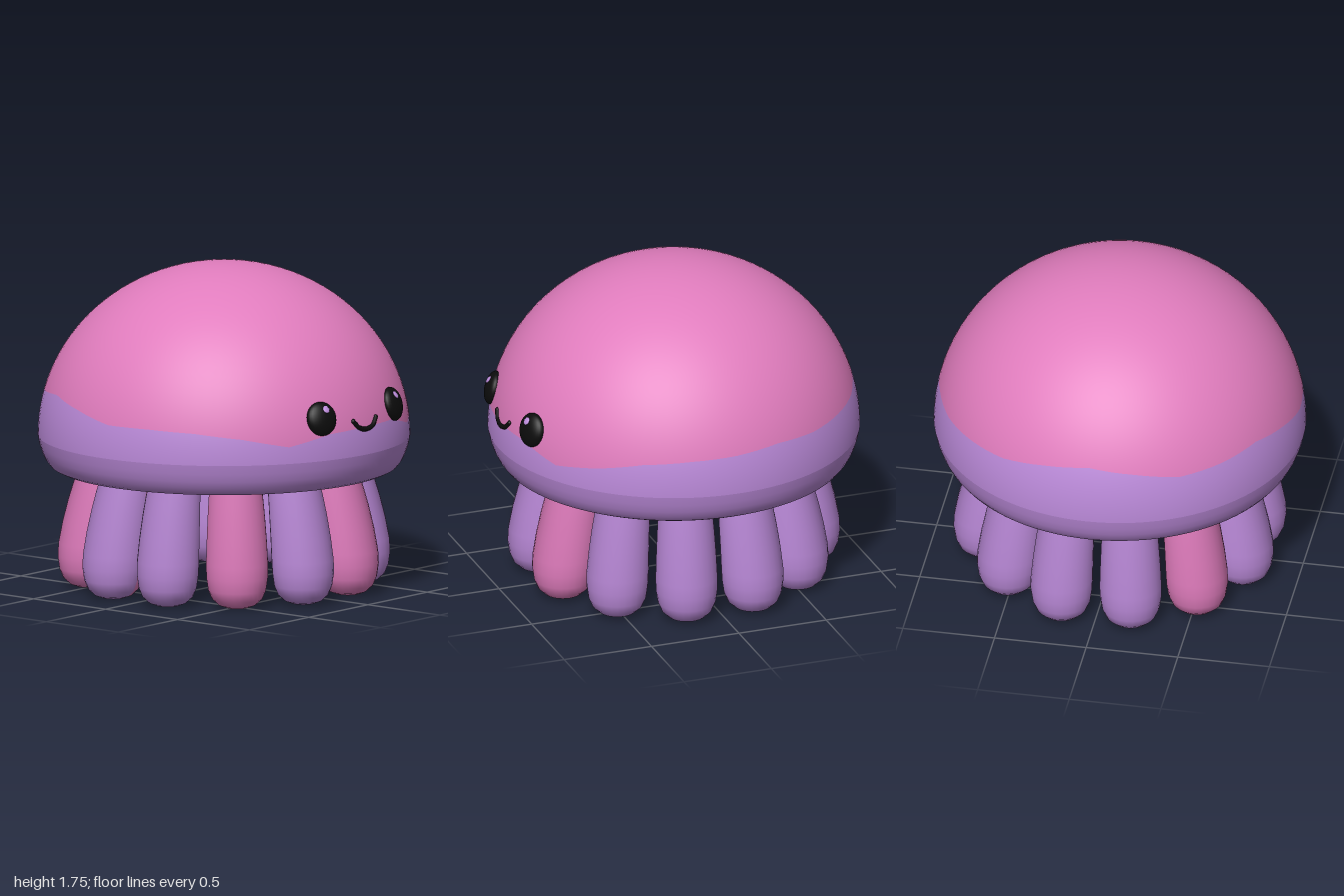
import * as THREE from 'three';

const mat = (name, color, side = THREE.FrontSide) => {
  const m = new THREE.MeshStandardMaterial({ color, side });
  m.name = name;
  return m;
};

// Dome ellipsoid: widest at BASE, unit radius, HEIGHT tall
const BASE = 0.82, HEIGHT = 0.935;
const radiusAt = (y) => Math.sqrt(Math.max(0, 1 - ((y - BASE) / HEIGHT) ** 2));
const surfaceZ = (x, y) => Math.sqrt(radiusAt(y) ** 2 - x * x);
const normalAt = (x, y, z) => new THREE.Vector3(x, (y - BASE) / HEIGHT ** 2, z).normalize();

// Height of the wavy colour border every 15 degrees, from the front towards +x
const BORDER = [
  0.97, 0.97, 0.91, 0.95, 1.0, 1.02, 1.03, 1.05, 1.04, 1.05, 1.06, 1.1,
  1.13, 1.1, 1.06, 1.07, 1.09, 1.05, 1.0, 1.0, 0.99, 0.96, 0.91, 0.96,
];
function borderAngle(phi) {
  const f = ((phi / (Math.PI * 2) + 1) % 1) * 24;
  const i = Math.floor(f) % 24;
  const y = THREE.MathUtils.lerp(BORDER[i], BORDER[(i + 1) % 24], f - Math.floor(f));
  return Math.asin((y - BASE) / HEIGHT);
}

// Zone of the dome between two latitudes that may vary with the azimuth
function domeZone(low, high, rows) {
  const pts = [];
  for (let i = 0; i <= rows; i++) pts.push(new THREE.Vector2(1, i / rows));
  const geo = new THREE.LatheGeometry(pts, 96);
  const pos = geo.attributes.position, nor = geo.attributes.normal;
  for (let i = 0; i < pos.count; i++) {
    const phi = Math.atan2(pos.getX(i), pos.getZ(i));
    const a = THREE.MathUtils.lerp(low(phi), high(phi), pos.getY(i));
    const r = Math.cos(a), y = BASE + HEIGHT * Math.sin(a);
    const x = r * Math.sin(phi), z = r * Math.cos(phi);
    const n = normalAt(x, y, z);
    pos.setXYZ(i, x, y, z);
    nor.setXYZ(i, n.x, n.y, n.z);
  }
  return geo;
}

// Tapered rounded tentacle, leaning inwards (-z) towards its top
const LEG = [
  [0, 0], [0.06, 0.003], [0.1, 0.018], [0.135, 0.05], [0.156, 0.1], [0.166, 0.17],
  [0.167, 0.24], [0.162, 0.36], [0.155, 0.48], [0.148, 0.57], [0.14, 0.66],
].map(([r, y]) => new THREE.Vector2(r, y));
function legGeometry(start = 0, length = Math.PI * 2) {
  const geo = new THREE.LatheGeometry(LEG, Math.round(28 * length / (Math.PI * 2)), start, length);
  const pos = geo.attributes.position;
  for (let i = 0; i < pos.count; i++) {
    const lean = Math.max(0, (pos.getY(i) - 0.18) / 0.46);
    pos.setZ(i, pos.getZ(i) + 0.73 - 0.085 * lean ** 1.4);
  }
  return geo;
}

export function createModel() {
  const root = new THREE.Group();
  root.name = 'jellyfish';
  const pink = mat('pink', 0xe07cbd);
  const purple = mat('purple', 0xba89d8);
  const black = mat('black', 0x0c0c0c);

  const add = (parent, name, geo, material) => {
    const mesh = new THREE.Mesh(geo, material);
    mesh.name = name;
    parent.add(mesh);
    return mesh;
  };

  // Bell: pink cap, purple band, rounded rim and flat underside
  add(root, 'cap', domeZone(borderAngle, () => Math.PI / 2, 24), pink);
  add(root, 'band', domeZone(() => 0, borderAngle, 6), purple);
  const rim = [
    [0.87, 0.64], [0.905, 0.645], [0.935, 0.66], [0.958, 0.69],
    [0.975, 0.725], [0.99, 0.77], [1, BASE],
  ].map(([r, y]) => new THREE.Vector2(r, y));
  add(root, 'rim', new THREE.LatheGeometry(rim, 96), purple);
  const under = add(root, 'underside', new THREE.CircleGeometry(0.872, 96), purple);
  under.rotation.x = Math.PI / 2;
  under.position.y = 0.64;

  // Twelve tentacles in a ring, counted from the front towards +x
  const whole = legGeometry();
  const outer = legGeometry(-Math.PI * 0.6, Math.PI * 1.2);
  const inner = legGeometry(Math.PI * 0.6, Math.PI * 0.8);
  const pinkLegs = [0, 7, 10], mixedLegs = [8, 9];
  for (let i = 0; i < 12; i++) {
    const leg = new THREE.Group();
    leg.name = 'tentacle' + (i + 1);
    leg.rotation.y = THREE.MathUtils.degToRad(15 + 30 * i);
    if (mixedLegs.includes(i)) {
      add(leg, 'tentacleOuterSide', outer, purple);
      add(leg, 'tentacleInnerSide', inner, pink);
    } else {
      add(leg, 'tentacleBody', whole, pinkLegs.includes(i) ? pink : purple);
    }
    root.add(leg);
  }

  // Eyes: flattened balls lying on the bell, each with a small highlight
  const ball = new THREE.SphereGeometry(1, 28, 18);
  for (const side of [1, -1]) {
    const eye = new THREE.Group();
    eye.name = side > 0 ? 'leftEye' : 'rightEye';
    const x = 0.3 * side, y = 1.045, z = surfaceZ(x, y);
    eye.position.set(x, y, z);
    eye.lookAt(eye.position.clone().add(normalAt(x, y, z)));
    add(eye, 'eyeball', ball, black).scale.set(0.09, 0.092, 0.045);
    const shine = add(eye, 'highlight', ball, purple);
    shine.scale.set(0.02, 0.022, 0.008);
    shine.position.set(-0.015 * side, 0.045, 0.038);
    shine.rotation.x = -0.4;
    root.add(eye);
  }

  // Smile: tube following the bell, with rounded ends
  const smile = [[-0.094, 1.008], [-0.055, 0.97], [0, 0.957], [0.055, 0.97], [0.094, 1.008]]
    .map(([x, y]) => new THREE.Vector3(x, y, surfaceZ(x, y)));
  add(root, 'mouth', new THREE.TubeGeometry(new THREE.CatmullRomCurve3(smile), 24, 0.013, 8), black);
  for (const p of [smile[0], smile[4]]) {
    const end = add(root, 'mouthCorner', ball, black);
    end.scale.setScalar(0.013);
    end.position.copy(p);
  }
  return root;
}
